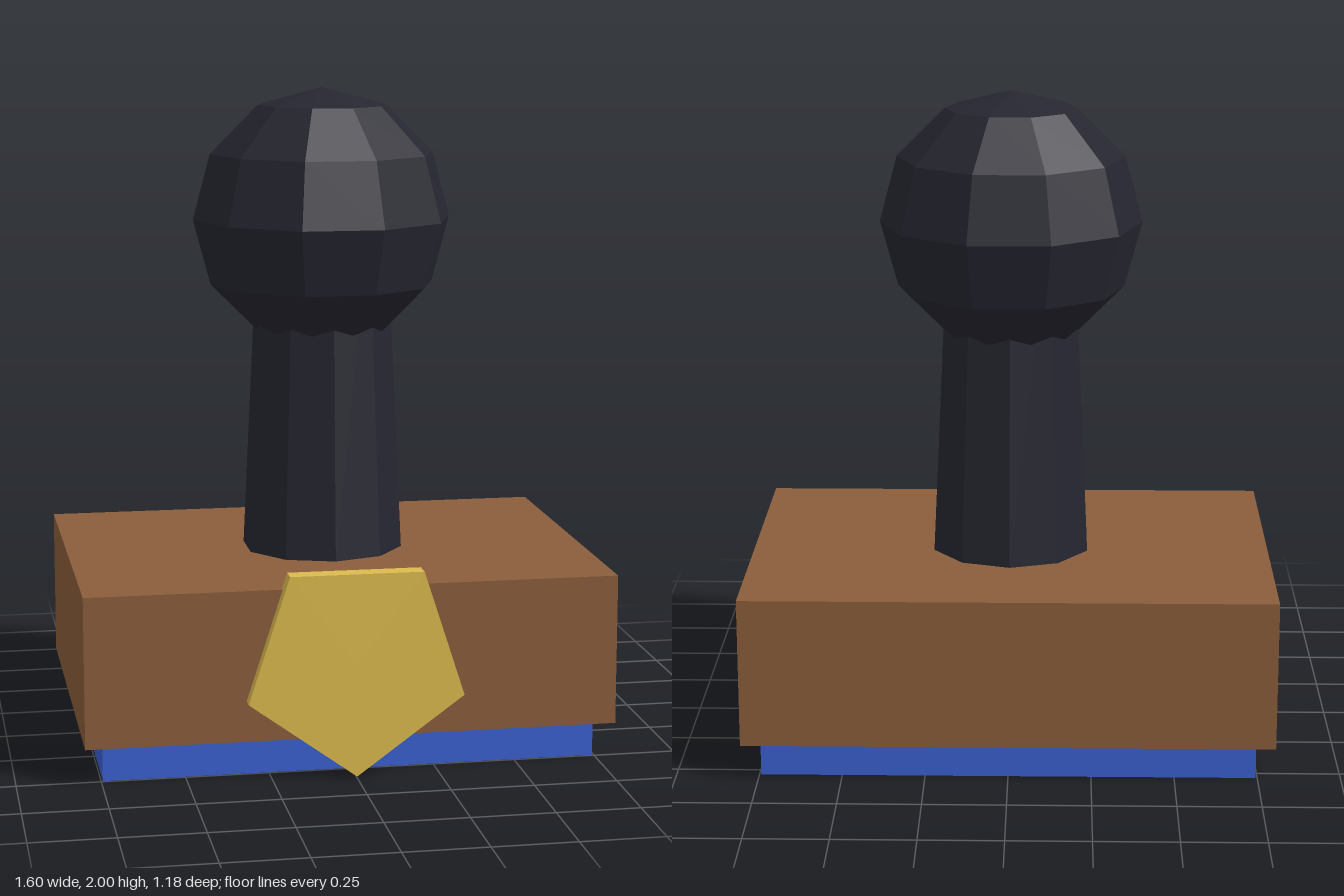
import * as THREE from 'three';

const material = (name, color) => {
  const m = new THREE.MeshStandardMaterial({ color, flatShading: true });
  m.name = name;
  return m;
};

export function createModel() {
  const model = new THREE.Group();
  model.name = 'stampHandle';

  const wood = material('brown wood', 0x8a5d3b);
  const blue = material('blue pad', 0x3a60d0);
  const dark = material('dark handle', 0x262631);
  const gold = material('gold', 0xdcba4e);

  const add = (name, geometry, mat, x, y, z) => {
    const mesh = new THREE.Mesh(geometry, mat);
    mesh.name = name;
    mesh.position.set(x, y, z);
    model.add(mesh);
    return mesh;
  };

  const midZ = -0.02; // the body sits slightly back to leave room for the badge

  // Base: blue pad under a wooden block
  add('pad', new THREE.BoxGeometry(1.49, 0.115, 1.03), blue, 0, 0.0575, midZ);
  add('block', new THREE.BoxGeometry(1.6, 0.457, 1.142), wood, 0, 0.3435, midZ);

  // Handle: tapered ten-sided stem with a faceted knob
  add('stem', new THREE.CylinderGeometry(0.2, 0.25, 1.03, 10), dark, 0, 1.085, midZ);
  add('knob', new THREE.SphereGeometry(0.4, 10, 6), dark, 0, 1.6, midZ);

  // Five-sided badge on the front, point down
  const badge = new THREE.CylinderGeometry(0.34, 0.34, 0.056, 5);
  badge.rotateX(Math.PI / 2);
  add('badge', badge, gold, 0, 0.344, 0.565);

  return model;
}
